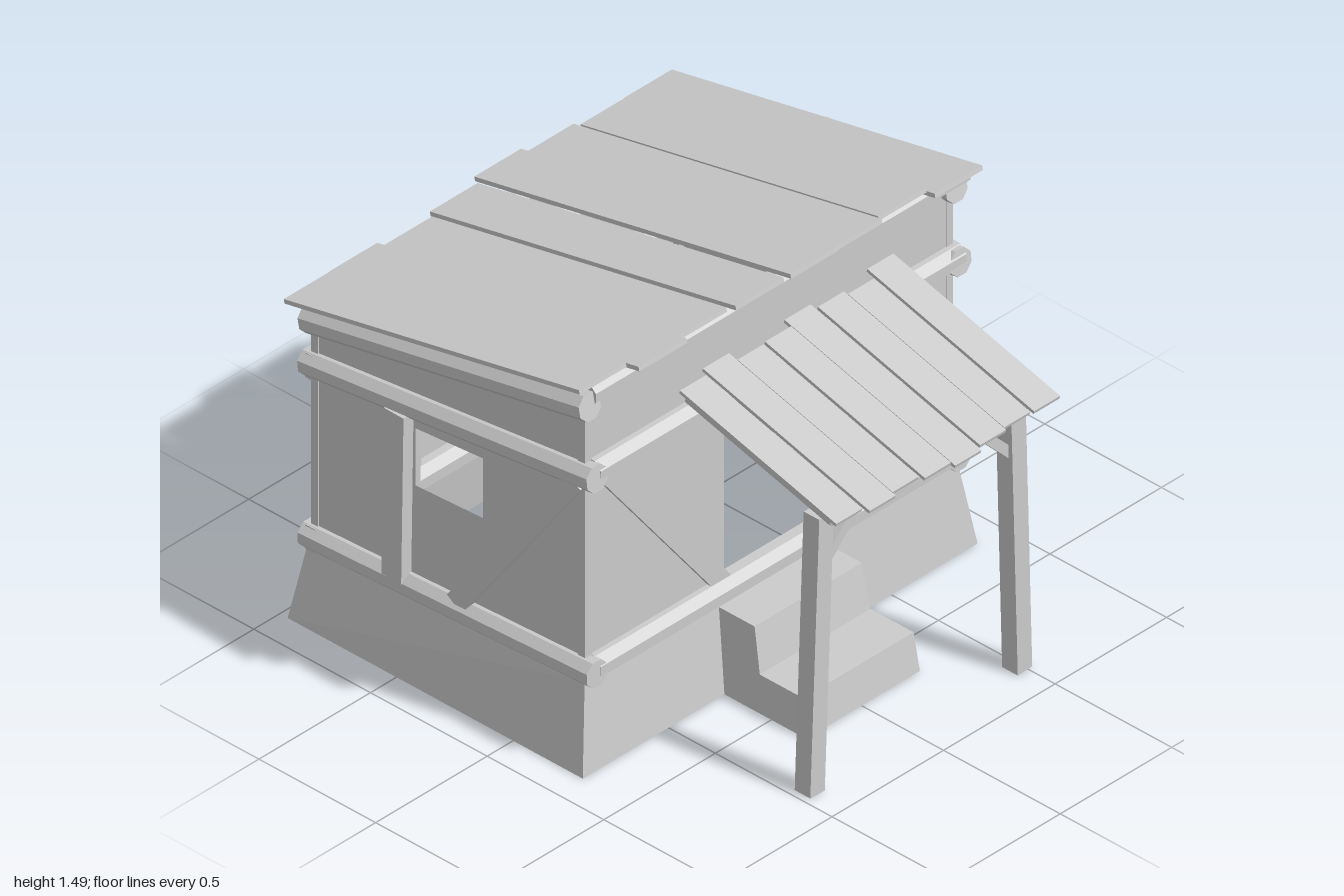
import * as THREE from 'three';

const mat = new THREE.MeshStandardMaterial({ color: 0xcccccc, flatShading: true, side: THREE.DoubleSide });
const V = (x, y, z) => new THREE.Vector3(x, y, z);

function add(parent, name, geo) {
  const m = new THREE.Mesh(geo, mat);
  m.name = name;
  parent.add(m);
  return m;
}

// Eight-sided log between two points
function log(parent, name, a, b, r) {
  const m = add(parent, name, new THREE.CylinderGeometry(r, r, a.distanceTo(b), 8).rotateY(Math.PI / 8));
  m.position.copy(a).add(b).multiplyScalar(0.5);
  m.quaternion.setFromUnitVectors(V(0, 1, 0), b.clone().sub(a).normalize());
}

// Board between two points: width w, thickness t along the face direction n
function board(parent, name, a, b, w, t, n) {
  const m = add(parent, name, new THREE.BoxGeometry(w, a.distanceTo(b), t));
  const dir = b.clone().sub(a).normalize();
  const side = dir.clone().cross(n).normalize();
  m.quaternion.setFromRotationMatrix(new THREE.Matrix4().makeBasis(side, dir, side.clone().cross(dir)));
  m.position.copy(a).add(b).multiplyScalar(0.5);
}

// Open-bottomed block lofted through four-cornered sections
function loft(sections, capped) {
  const pos = sections.flat(2), idx = [];
  for (let s = 0; s + 1 < sections.length; s++)
    for (let i = 0; i < 4; i++) {
      const a = s * 4 + i, b = s * 4 + (i + 1) % 4;
      idx.push(a, b, b + 4, a, b + 4, a + 4);
    }
  const t = (sections.length - 1) * 4;
  if (capped) idx.push(t, t + 1, t + 2, t, t + 2, t + 3);
  const g = new THREE.BufferGeometry();
  g.setAttribute('position', new THREE.Float32BufferAttribute(pos, 3));
  g.setIndex(idx);
  const flat = g.toNonIndexed();
  flat.computeVertexNormals();
  return flat;
}

// Rectangular section, front and back height may differ
const section = (x0, x1, zf, zb, yf, yb) => [[x0, yf, zf], [x1, yf, zf], [x1, yb, zb], [x0, yb, zb]];

// Flat wall from an outline with an optional opening
function wall(outline, hole) {
  const pts = (p) => p.map(([x, y]) => new THREE.Vector2(x, y));
  const s = new THREE.Shape(pts(outline));
  if (hole) s.holes.push(new THREE.Path(pts(hole)));
  return new THREE.ShapeGeometry(s);
}

function createModel() {
  const root = new THREE.Group();
  root.name = 'hut';
  const group = (name) => {
    const g = new THREE.Group();
    g.name = name;
    root.add(g);
    return g;
  };
  const Z = V(0, 0, 1), X = V(1, 0, 0);
  const FZ = 0.25, BZ = -0.92, WX = 0.82;

  // Sloping plinth and front steps
  add(root, 'plinth', loft([
    section(-0.885, 0.885, 0.3, -0.965, 0, 0),
    section(-0.835, 0.835, 0.26, -0.93, 0.32, 0.26)], false));
  const steps = group('steps');
  add(steps, 'lowerStep', loft([
    section(-0.25, 0.26, 0.65, 0.28, 0, 0), section(-0.243, 0.253, 0.63, 0.26, 0.14, 0.14)], true));
  add(steps, 'upperStep', loft([
    section(-0.243, 0.253, 0.445, 0.27, 0.14, 0.14), section(-0.235, 0.245, 0.415, 0.25, 0.303, 0.303)], true));

  // Walls with door and window openings
  const walls = group('walls');
  add(walls, 'frontWall', wall(
    [[-WX, 0.3], [WX, 0.3], [WX, 1.38], [-WX, 1.38]],
    [[-0.2, 0.34], [0.2, 0.34], [0.2, 1.06], [-0.2, 1.06]])).position.z = FZ;
  add(walls, 'backWall', wall([[-WX, 0.25], [WX, 0.25], [WX, 1.13], [-WX, 1.13]])).position.z = BZ;
  for (const s of [-1, 1]) {
    const side = add(walls, 'sideWall', wall(
      [[-FZ, 0.3], [-BZ, 0.25], [-BZ, 1.13], [-FZ, 1.38]],
      [[0.19, 0.715], [0.48, 0.7], [0.48, 0.915], [0.19, 0.94]]));
    side.rotation.y = Math.PI / 2;
    side.position.x = s * WX;
  }

  // Log frame: lower and middle rings, sloping to the back
  const frame = group('logFrame');
  for (const [name, yf, yb] of [['lowerLog', 0.357, 0.3], ['middleLog', 1.093, 0.947]]) {
    log(frame, name, V(-0.8, yf, FZ), V(0.84, yf, FZ), 0.05);
    log(frame, name, V(-0.84, yb, BZ + 0.01), V(0.84, yb, BZ + 0.01), 0.05);
    for (const s of [-1, 1])
      log(frame, name, V(s * 0.815, yf, 0.295), V(s * 0.815, yb, -0.945), 0.05);
  }

  // Posts and diagonal braces on the walls
  const timber = group('timbers');
  for (const x of [-0.78 + 0.045, 0.295])
    board(timber, 'frontBrace', V(x, 1.06, FZ), V(x + 0.53, 0.37, FZ), 0.07, 0.035, Z);
  for (const s of [-1, 1]) {
    board(timber, 'sideBrace', V(s * WX, 1.07, 0.225), V(s * WX, 0.36, -0.285), 0.075, 0.06, X);
    board(timber, 'windowPost', V(s * 0.825, 0.97, -0.53), V(s * 0.825, 0.34, -0.54), 0.085, 0.08, X);
    board(timber, 'backPost', V(s * 0.4, 0.31, BZ), V(s * 0.4, 0.93, BZ), 0.085, 0.05, Z);
    for (const z of [FZ - 0.012, BZ + 0.012])
      board(timber, 'cornerPost', V(s * 0.81, 0.3, z), V(s * 0.81, z > 0 ? 1.36 : 1.12, z), 0.03, 0.03, Z);
  }

  // Roof logs along the walls and across
  const roof = group('roof');
  for (const s of [-1, 1])
    log(roof, 'rafter', V(s * 0.822, 1.355, 0.27), V(s * 0.822, 1.115, -0.935), 0.05);
  for (const [y, z, r] of [[1.378, 0.235, 0.043], [1.268, -0.325, 0.04], [1.14, -0.885, 0.04]])
    log(roof, 'purlin', V(-0.8, y, z), V(0.88, y, z), r);

  // Roof planks: left edge, right edge, front z, back z, lift
  const planks = [
    [-0.89, -0.68, 0.29, -0.975, 0.006], [-0.675, -0.46, 0.34, -0.985, 0],
    [-0.455, -0.24, 0.3, -0.96, -0.004], [-0.23, -0.015, 0.33, -0.98, 0.004],
    [-0.01, 0.2, 0.355, -1, 0.02], [0.205, 0.42, 0.335, -0.985, 0.008],
    [0.43, 0.645, 0.31, -0.965, 0.006], [0.647, 0.86, 0.345, -0.985, -0.008]];
  for (const [x0, x1, zf, zb, lift] of planks) {
    const x = (x0 + x1) / 2, y = (z) => 1.387 + 0.207 * z + lift;
    board(roof, 'roofPlank', V(x, y(zf), zf), V(x, y(zb), zb), x1 - x0, 0.016, V(0, 1, 0));
  }

  // Porch: leaning posts, knee braces, beam, rafters and canopy planks
  const porch = group('porch');
  const canopyY = (z) => 1.04 + 0.272 * (1 - z);
  for (const [foot, head, knee] of [[-0.445, -0.405, -0.2], [0.485, 0.455, 0.25]]) {
    board(porch, 'porchPost', V(foot, 0, 0.852), V(head, 1.03, 0.852), 0.065, 0.067, Z);
    board(porch, 'kneeBrace', V(head, 0.82, 0.852), V(knee, 1.03, 0.852), 0.035, 0.035, Z);
    log(porch, 'porchRafter', V(head, canopyY(0.92) - 0.033, 0.92), V(head, canopyY(0.3) - 0.033, 0.3), 0.022);
  }
  for (const z of [0.87, 0.64, 0.33])
    log(porch, 'canopyBatten', V(-0.42, canopyY(z) - 0.018, z), V(0.49, canopyY(z) - 0.018, z), 0.013);
  log(porch, 'porchBeam', V(-0.41, 1.04, 0.852), V(0.47, 1.04, 0.852), 0.02);
  const fronts = [0.96, 0.985, 0.965, 0.985, 0.997, 0.985, 0.97, 0.98];
  const backs = [0.29, 0.27, 0.3, 0.3, 0.265, 0.29, 0.3, 0.265];
  fronts.forEach((zf, i) => {
    const x = -0.382 + i * 0.1237, lift = i % 2 ? 0.003 : -0.003;
    board(porch, 'canopyPlank', V(x, canopyY(zf) + lift, zf), V(x, canopyY(backs[i]) + lift, backs[i]),
      0.117, 0.012, V(0, 1, 0));
  });

  return root;
}

export { createModel };
